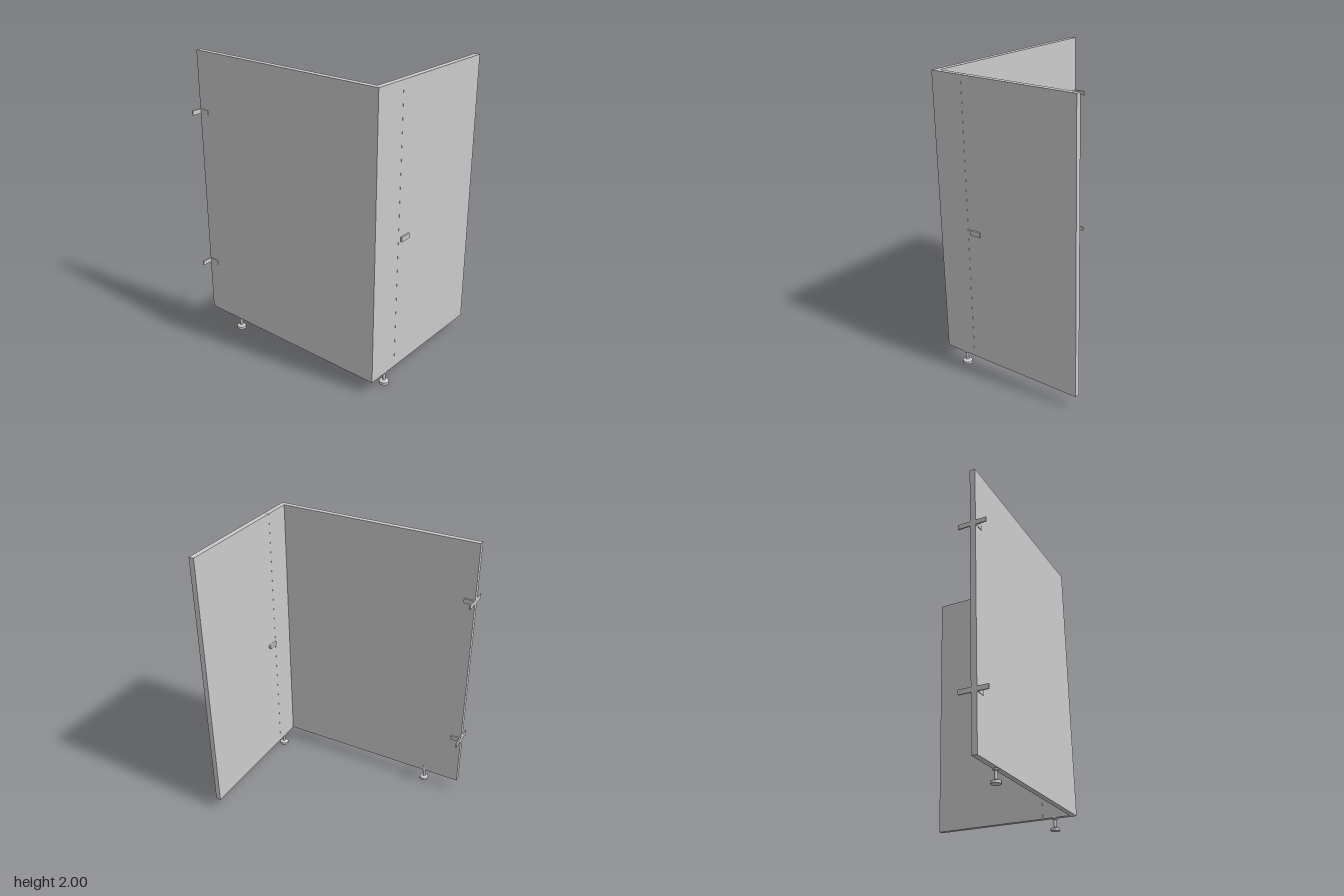
import * as THREE from 'three';

const material = new THREE.MeshStandardMaterial({ color: 0xcccccc, flatShading: true });

// Box given by its min and max on each axis
function box(parent, name, [x0, x1], [y0, y1], [z0, z1]) {
  const mesh = new THREE.Mesh(new THREE.BoxGeometry(x1 - x0, y1 - y0, z1 - z0), material);
  mesh.position.set((x0 + x1) / 2, (y0 + y1) / 2, (z0 + z1) / 2);
  mesh.name = name;
  parent.add(mesh);
}

// Adjustable foot: round base, thin stem and a sleeve let into the panel
function createFoot(name, x, z) {
  const profile = [
    [0, 0], [0.033, 0], [0.033, 0.018], [0.014, 0.024], [0.01, 0.026],
    [0.01, 0.076], [0.019, 0.082], [0.019, 0.128], [0, 0.128],
  ].map(([r, y]) => new THREE.Vector2(r, y));
  const foot = new THREE.Mesh(new THREE.LatheGeometry(profile, 12), material);
  foot.name = name;
  foot.position.set(x, 0, z);
  return foot;
}

// Pair of L-shaped angles fixing the side panel to the wall
function createWallBracket(y) {
  const bracket = new THREE.Group();
  bracket.name = 'wallBracket';
  const ys = [y - 0.016, y + 0.016];
  box(bracket, 'outerWallPlate', [-0.57, -0.495], ys, [-0.745, -0.737]);
  box(bracket, 'outerPanelPlate', [-0.501, -0.494], ys, [-0.745, -0.67]);
  box(bracket, 'innerWallPlate', [-0.46, -0.375], ys, [-0.745, -0.737]);
  box(bracket, 'innerPanelPlate', [-0.461, -0.449], ys, [-0.745, -0.67]);
  return bracket;
}

export function createModel() {
  const model = new THREE.Group();
  model.name = 'cubicle';
  const height = [0.09, 2];
  const frontDepth = [0.693, 0.729];

  // Panels: long side wall, narrow front post and door
  box(model, 'sidePanel', [-0.497, -0.459], height, [-0.745, 0.693]);
  box(model, 'frontPost', [-0.497, -0.263], height, frontDepth);
  box(model, 'door', [-0.262, 0.565], height, frontDepth);

  // Door latch: pull outside, bolt inside
  const latch = new THREE.Group();
  latch.name = 'latch';
  box(latch, 'outerPull', [-0.239, -0.16], [0.985, 1.017], [0.725, 0.74]);
  box(latch, 'innerBolt', [-0.253, -0.176], [0.988, 1.013], [0.676, 0.695]);
  model.add(latch);

  for (const y of [0.475, 1.59]) model.add(createWallBracket(y));

  model.add(createFoot('frontFoot', -0.344, 0.711), createFoot('sideFoot', -0.475, -0.478));
  return model;
}
